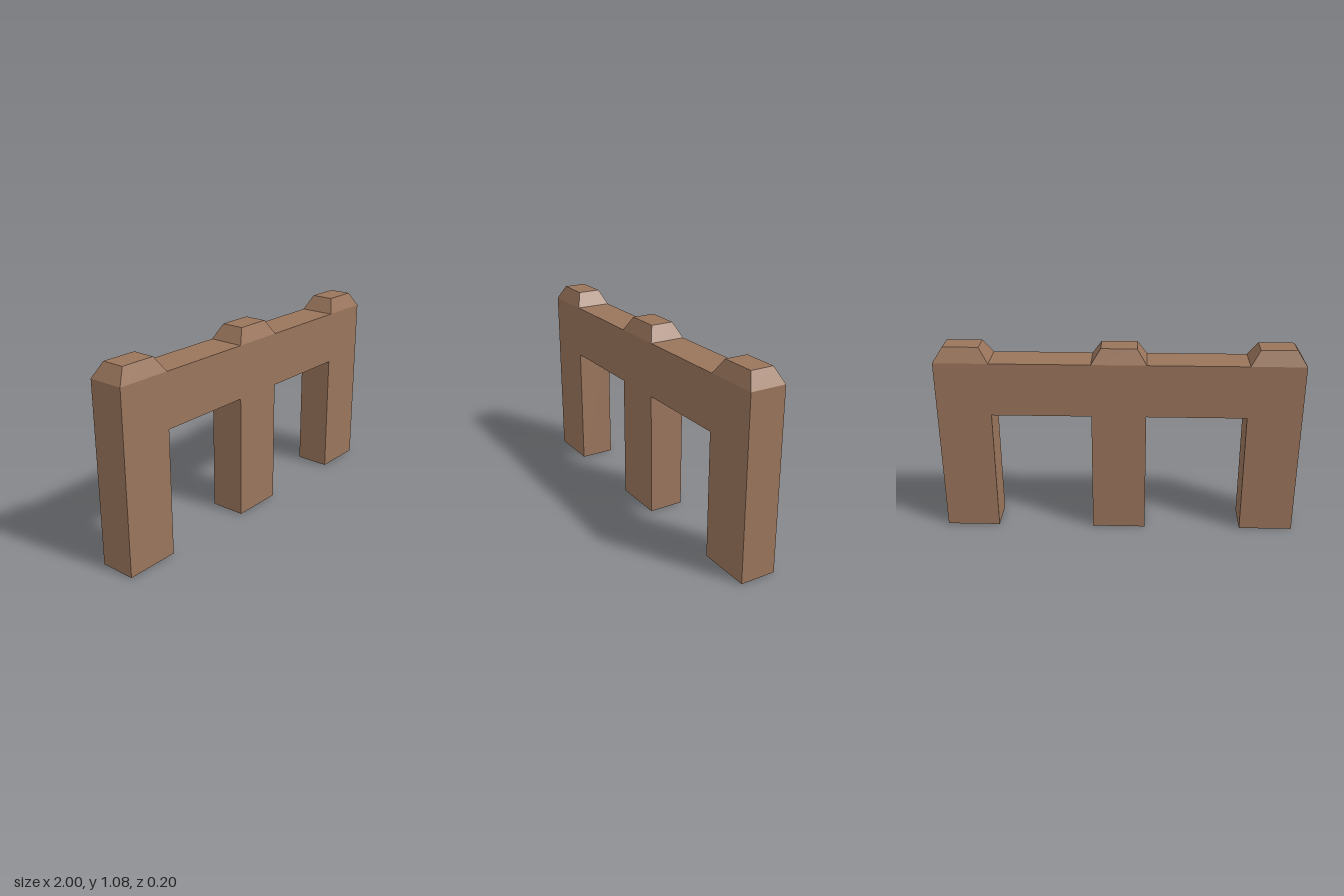
import * as THREE from 'three';

const DEPTH = 0.2, POST_W = 0.3, BEAM_BOTTOM = 0.7, BEAM_TOP = 1, CAP_H = 0.08;

// Four-sided block that narrows to a smaller rectangle at its top
function taperedBlock(width, height, depth, topWidth, topDepth) {
  const geometry = new THREE.BoxGeometry(width, height, depth);
  const p = geometry.attributes.position;
  for (let i = 0; i < p.count; i++) {
    if (p.getY(i) > 0) {
      p.setX(i, Math.sign(p.getX(i)) * topWidth / 2);
      p.setZ(i, Math.sign(p.getZ(i)) * topDepth / 2);
    }
  }
  geometry.computeVertexNormals();
  return geometry;
}

export function createModel() {
  const group = new THREE.Group();
  const wood = new THREE.MeshStandardMaterial({ color: 0x9a755c });
  wood.name = 'brown wood';

  // Three posts and the beam as one flush frame
  const outline = new THREE.Shape([
    [-1, 0], [-0.7, 0], [-0.7, BEAM_BOTTOM], [-0.15, BEAM_BOTTOM], [-0.15, 0],
    [0.15, 0], [0.15, BEAM_BOTTOM], [0.7, BEAM_BOTTOM], [0.7, 0], [1, 0],
    [1, BEAM_TOP], [-1, BEAM_TOP],
  ].map(([x, y]) => new THREE.Vector2(x, y)));
  const frameGeometry = new THREE.ExtrudeGeometry(outline, { depth: DEPTH, bevelEnabled: false });
  frameGeometry.translate(0, 0, -DEPTH / 2);
  const frame = new THREE.Mesh(frameGeometry, wood);
  frame.name = 'fenceFrame';
  group.add(frame);

  // Chamfered cap above each post
  const capGeometry = taperedBlock(POST_W, CAP_H, DEPTH, 0.195, 0.128);
  for (const [name, x] of [['rightPostCap', -0.85], ['middlePostCap', 0], ['leftPostCap', 0.85]]) {
    const cap = new THREE.Mesh(capGeometry, wood);
    cap.name = name;
    cap.position.set(x, BEAM_TOP + CAP_H / 2, 0);
    group.add(cap);
  }
  return group;
}
